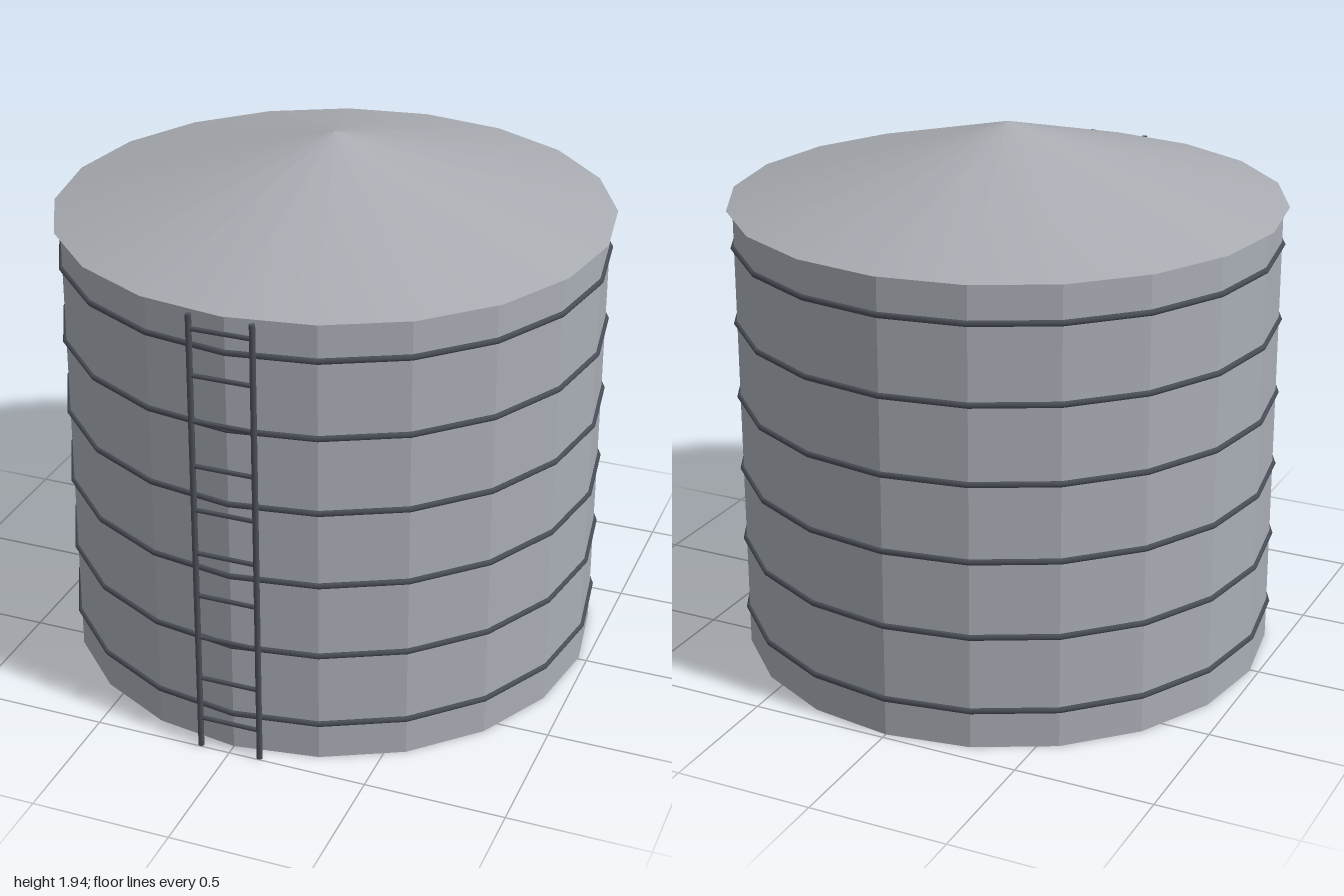
import * as THREE from 'three';

const SIDES = 20;
const WALL_R = 0.968, WALL_H = 1.66;
const ROOF_R = 0.99, ROOF_H = 0.275;

export function createModel() {
  const model = new THREE.Group();
  model.name = 'storageTank';

  const sheet = new THREE.MeshStandardMaterial({ color: 0xa9adb5 });
  sheet.name = 'galvanised sheet';
  sheet.flatShading = true;
  const roofSheet = new THREE.MeshStandardMaterial({ color: 0xa9acb2 });
  roofSheet.name = 'roof sheet';
  const steel = new THREE.MeshStandardMaterial({ color: 0x4a4e57 });
  steel.name = 'dark steel';

  const add = (parent, name, geometry, material, x = 0, y = 0, z = 0) => {
    const mesh = new THREE.Mesh(geometry, material);
    mesh.name = name;
    mesh.position.set(x, y, z);
    parent.add(mesh);
    return mesh;
  };

  // Tank, set back slightly to leave room for the ladder
  const tank = new THREE.Group();
  tank.name = 'tank';
  tank.position.z = -0.01;
  model.add(tank);
  add(tank, 'wall', new THREE.CylinderGeometry(WALL_R, WALL_R, WALL_H, SIDES), sheet, 0, WALL_H / 2);
  add(tank, 'roof', new THREE.ConeGeometry(ROOF_R, ROOF_H, SIDES), roofSheet, 0, WALL_H + ROOF_H / 2);

  // Hoops around the wall, with corners matching the wall's
  const hoopGeometry = new THREE.TorusGeometry(WALL_R + 0.001, 0.011, 6, SIDES).rotateX(Math.PI / 2);
  for (let i = 0; i < 6; i++) {
    add(tank, 'hoop', hoopGeometry, steel, 0, 0.14 + i * 0.277);
  }

  // Ladder on the front
  const ladder = new THREE.Group();
  ladder.name = 'ladder';
  ladder.position.z = 0.989;
  model.add(ladder);
  const railGeometry = new THREE.CylinderGeometry(0.011, 0.011, 1.655, 8);
  for (const side of [-1, 1]) {
    add(ladder, 'rail', railGeometry, steel, side * 0.11, 1.655 / 2);
  }
  const rungGeometry = new THREE.CylinderGeometry(0.008, 0.008, 0.22, 6).rotateZ(Math.PI / 2);
  for (let i = 0; i < 10; i++) {
    add(ladder, 'rung', rungGeometry, steel, 0, 0.115 + i * 0.1655);
  }
  return model;
}
